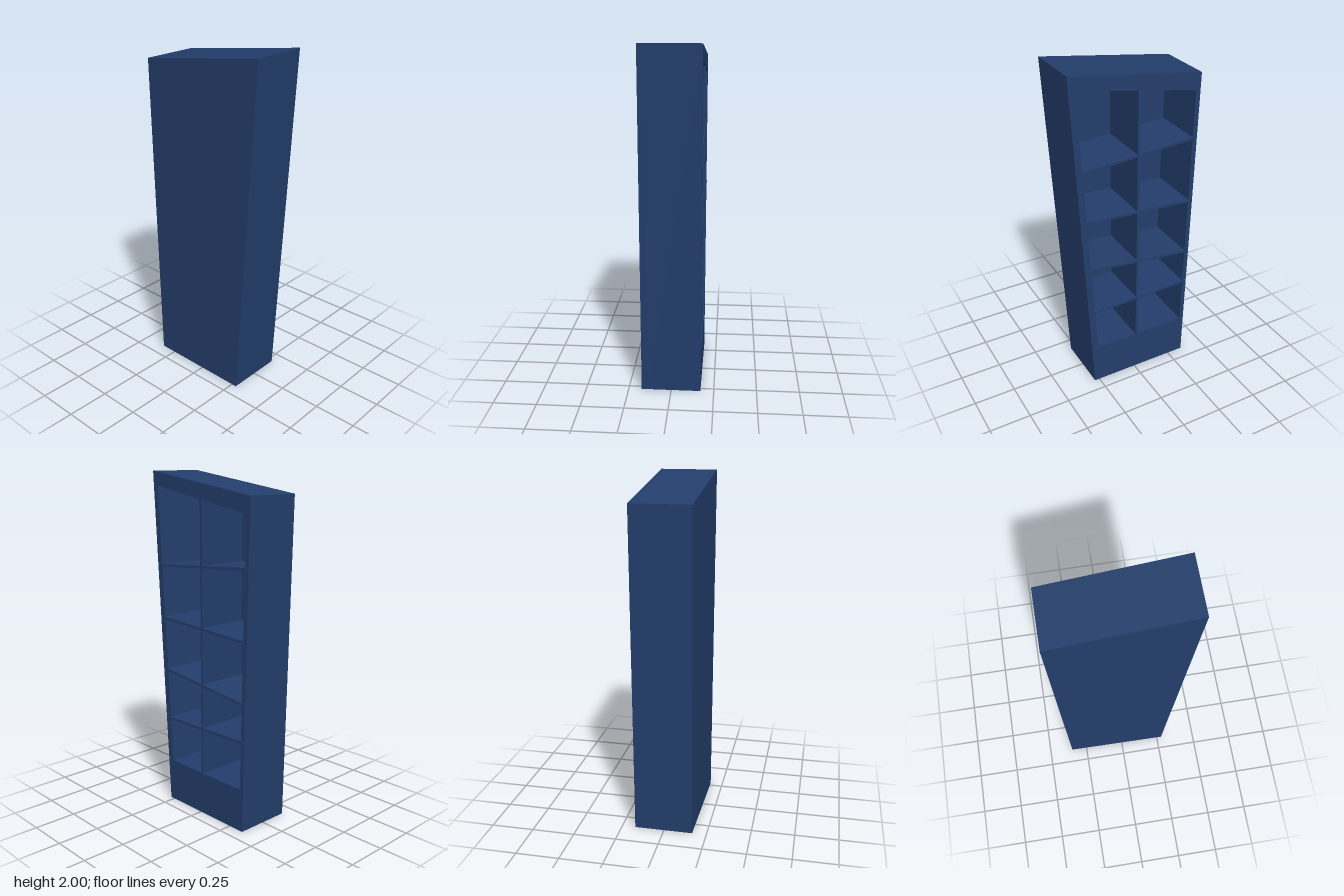
import * as THREE from 'three';

const BACK = -0.172;   // open side of the case
const INNER = 0.14;    // inner face of the closed front panel
const LIP = -0.175;    // boards stand slightly proud of the frame

const OUTER = [[-0.35, 0], [0.28, 0], [0.395, 2], [-0.395, 1.885]];
const OPENING = [[-0.33, 0.255], [0.253, 0.255], [0.355, 1.917], [-0.364, 1.79]];

// Top edges of the crooked shelves: [left end x, y, right end x, y]
const SHELVES = [
  [-0.36, 1.515, 0.35, 1.465],
  [-0.35, 1.12, 0.325, 1.157],
  [-0.344, 0.77, 0.297, 0.84],
  [-0.34, 0.548, 0.28, 0.534],
];
const THICK = 0.015;

const toPoints = (list) => list.map(([x, y]) => new THREE.Vector2(x, y));

// Extrude a polygon between two z planes, with an optional hole
function slab(points, z0, z1, hole) {
  const shape = new THREE.Shape(toPoints(points));
  if (hole) shape.holes.push(new THREE.Path(toPoints(hole)));
  const geo = new THREE.ExtrudeGeometry(shape, { depth: z1 - z0, bevelEnabled: false });
  return geo.translate(0, 0, z0);
}

export function createModel() {
  const model = new THREE.Group();
  model.name = 'crookedBookcase';
  const material = new THREE.MeshStandardMaterial({ color: 0x233d6b, flatShading: true });

  const add = (name, geometry) => {
    const mesh = new THREE.Mesh(geometry, material);
    mesh.name = name;
    model.add(mesh);
  };

  // Tapered case with a slanted top and a deep plinth
  add('caseFrame', slab(OUTER, BACK, INNER, OPENING));

  // Closed panel, leaning out a little towards its lower corner
  const panel = slab(OUTER, INNER, 0.165);
  const pos = panel.attributes.position;
  for (let i = 0; i < pos.count; i++) {
    if (pos.getZ(i) > 0.15 && pos.getY(i) < 0.01) {
      pos.setZ(i, pos.getX(i) > 0 ? 0.174 : 0.167);
    }
  }
  panel.computeVertexNormals();
  add('frontPanel', panel);

  // Upright board splitting the case into two columns
  add('divider', slab(
    [[-0.022, 0.25], [-0.007, 0.25], [-0.007, 1.86], [-0.022, 1.86]], BACK, INNER));

  // Tilted shelves
  SHELVES.forEach(([x0, y0, x1, y1], i) => {
    add(`shelf${i + 1}`, slab(
      [[x0, y0 - THICK], [x1, y1 - THICK], [x1, y1], [x0, y0]], LIP, INNER));
  });

  return model;
}
